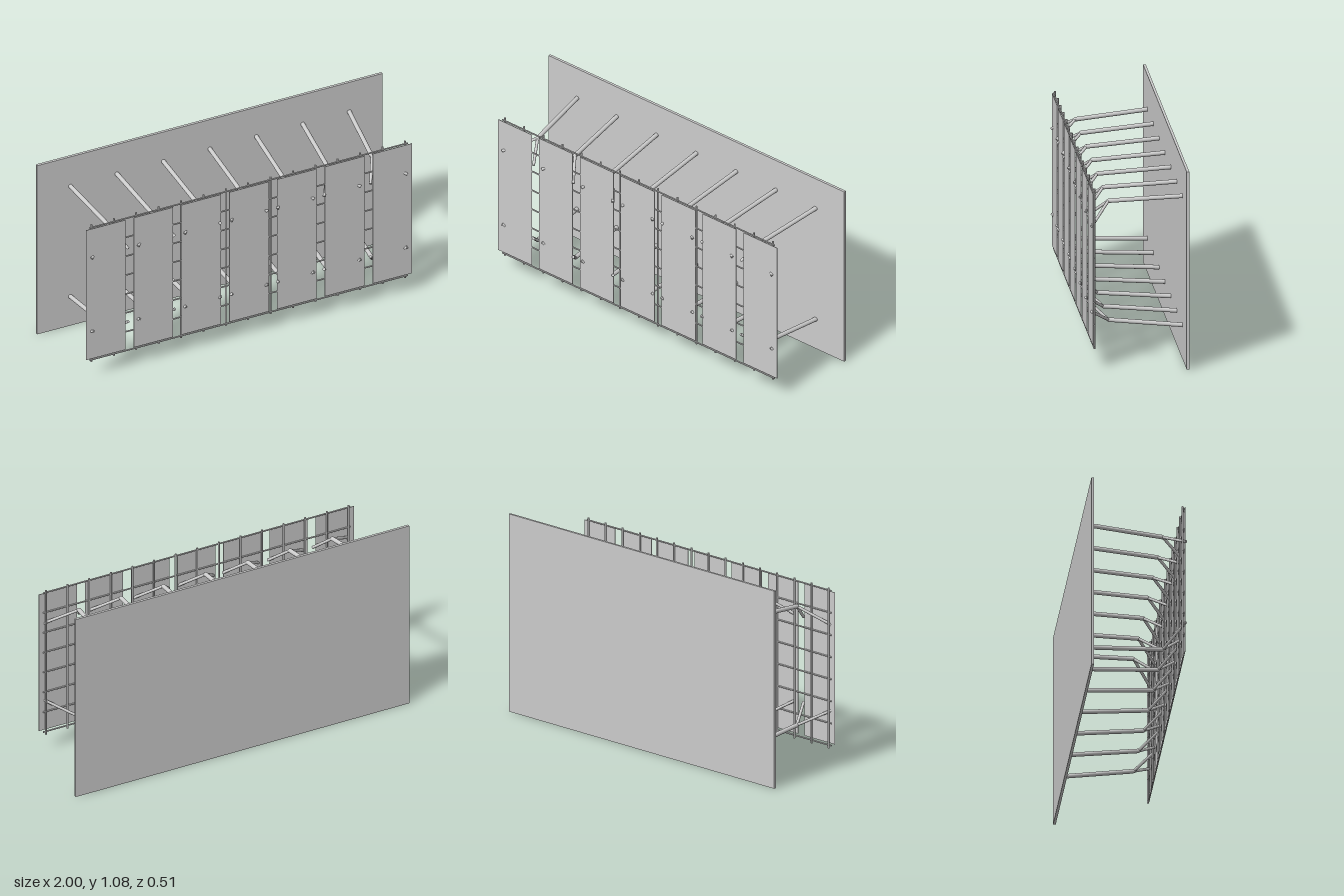
import * as THREE from 'three';

const material = new THREE.MeshStandardMaterial({ color: 0xcccccc });

function addBox(parent, name, size, position) {
  const mesh = new THREE.Mesh(new THREE.BoxGeometry(...size), material);
  mesh.name = name;
  mesh.position.set(...position);
  parent.add(mesh);
}

// Round bar running from point a to point b
function addBar(parent, name, a, b, radius, sides = 16) {
  const start = new THREE.Vector3(...a);
  const end = new THREE.Vector3(...b);
  const along = end.clone().sub(start);
  const mesh = new THREE.Mesh(new THREE.CylinderGeometry(radius, radius, along.length(), sides), material);
  mesh.name = name;
  mesh.position.copy(start).add(end).multiplyScalar(0.5);
  mesh.quaternion.setFromUnitVectors(new THREE.Vector3(0, 1, 0), along.normalize());
  parent.add(mesh);
}

export function createModel() {
  const model = new THREE.Group();
  model.name = 'claddingOnBrackets';
  const midY = 0.54;

  // Backing wall
  addBox(model, 'wall', [2, 1.08, 0.014], [0, midY, -0.25]);

  // Row of thin front panels
  const panels = new THREE.Group();
  panels.name = 'panels';
  for (let i = -3; i <= 3; i++) {
    addBox(panels, 'panel', [0.228, 0.83, 0.003], [i * 0.2765, midY + 0.003, 0.2435]);
  }
  model.add(panels);

  // Mesh of vertical and horizontal rods behind the panels
  const grid = new THREE.Group();
  grid.name = 'rodGrid';
  for (let i = -7; i <= 7; i++) {
    const x = i * 0.1295;
    addBar(grid, 'verticalRod', [x, 0.102, 0.233], [x, 0.978, 0.233], 0.0052, 12);
  }
  for (let i = 0; i < 8; i++) {
    const y = 0.117 + i * 0.1209;
    addBar(grid, 'horizontalRod', [-0.92, y, 0.2385], [0.92, y, 0.2385], 0.0042, 12);
  }
  model.add(grid);

  // Forked brackets, mirrored above and below the middle
  for (const side of [1, -1]) {
    for (let i = -3; i <= 3; i++) {
      const bracket = new THREE.Group();
      bracket.name = side > 0 ? 'upperBracket' : 'lowerBracket';
      const baseX = i * 0.269;
      const elbow = [i * 0.253, midY + side * 0.325, 0.143];
      addBar(bracket, 'arm', [baseX, midY + side * 0.353, -0.245], elbow, 0.0118, 20);
      for (const s of [-1, 1]) {
        addBar(bracket, 'prong', elbow, [baseX + s * 0.106, midY + side * 0.233, 0.249], 0.0078);
      }
      // Rounded joint where the prongs leave the arm
      const joint = new THREE.Mesh(new THREE.SphereGeometry(0.0105, 16, 10), material);
      joint.name = 'joint';
      joint.position.set(...elbow);
      bracket.add(joint);
      model.add(bracket);
    }
  }
  return model;
}
